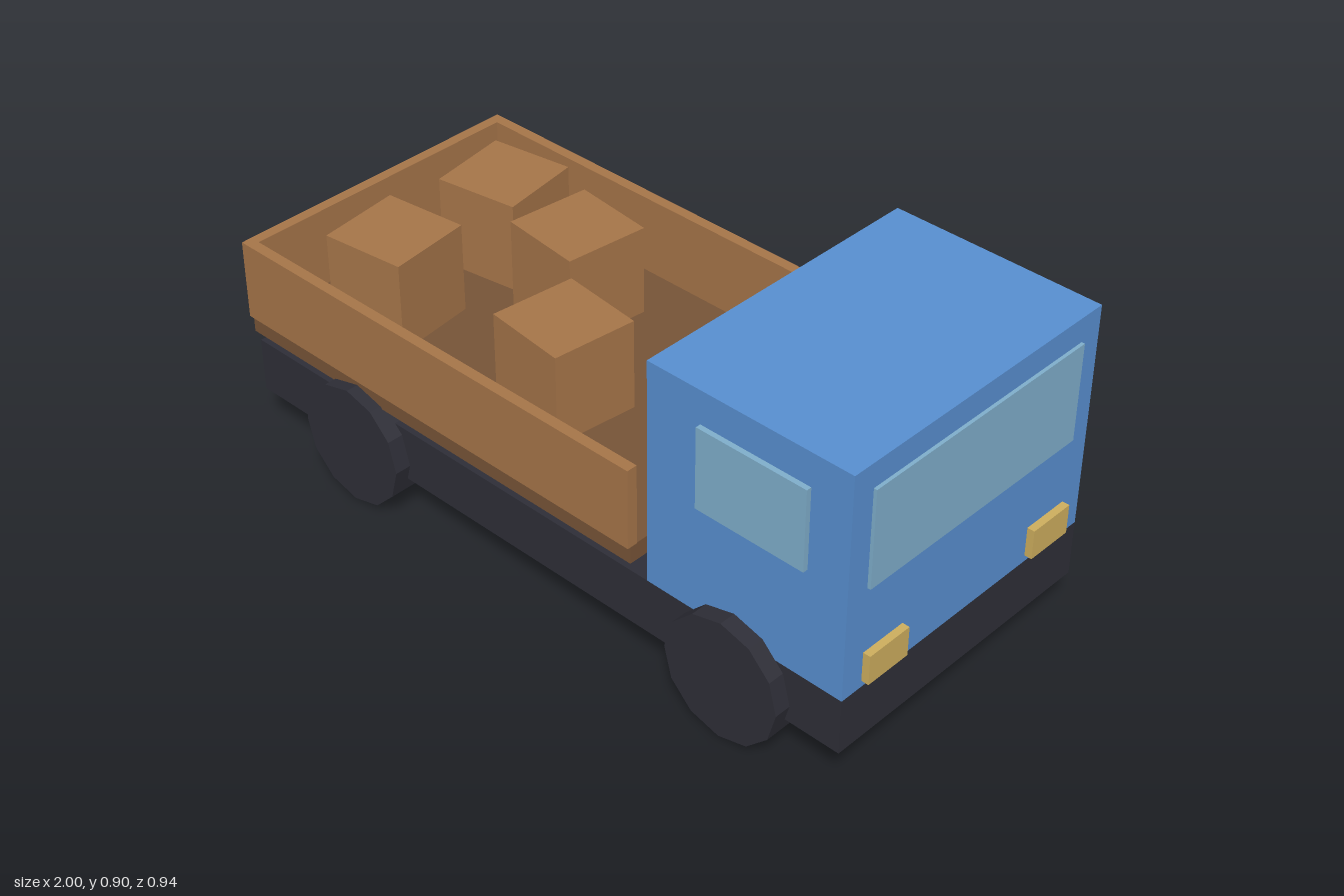
import * as THREE from 'three';

const material = (name, color) => {
  const m = new THREE.MeshStandardMaterial({ color });
  m.name = name;
  return m;
};

export function createModel() {
  const truck = new THREE.Group();
  truck.name = 'flatbedTruck';

  const blue = material('blue paint', 0x588fd0);
  const glass = material('window glass', 0x7faecb);
  const lamp = material('lamp yellow', 0xcdae5e);
  const dark = material('dark rubber and steel', 0x2e2e37);
  const wood = material('wood', 0xa67549);
  const darkWood = material('dark wood', 0x775437);

  // Box given by its [min, max] extents on each axis
  function box(name, mat, [x0, x1], [y0, y1], [z0, z1]) {
    const mesh = new THREE.Mesh(new THREE.BoxGeometry(x1 - x0, y1 - y0, z1 - z0), mat);
    mesh.position.set((x0 + x1) / 2, (y0 + y1) / 2, (z0 + z1) / 2);
    mesh.name = name;
    truck.add(mesh);
    return mesh;
  }
  // Extents on the z axis, mirrored for the other side
  const onSide = (s, a, b) => (s > 0 ? [a, b] : [-b, -a]);

  // Chassis and cab
  box('chassis', dark, [-0.99, 0.98], [0.125, 0.28], [-0.425, 0.425]);
  box('cab', blue, [0.397, 0.98], [0.28, 0.9], [-0.425, 0.425]);
  box('windshield', glass, [0.98, 0.989], [0.563, 0.832], [-0.36, 0.36]);

  // Load bed: floor, tailboard and side boards, open towards the cab
  box('bedFloor', darkWood, [-0.995, 0.355], [0.312, 0.362], [-0.436, 0.436]);
  box('tailboard', wood, [-1, -0.97], [0.36, 0.585], [-0.444, 0.444]);

  // Wheels lie along z
  const wheelGeometry = new THREE.CylinderGeometry(0.17, 0.17, 0.135, 12).rotateX(Math.PI / 2).toNonIndexed();
  wheelGeometry.computeVertexNormals();

  for (const s of [1, -1]) {
    const side = s > 0 ? 'Near' : 'Far';
    box('sideBoard' + side, wood, [-0.97, 0.355], [0.36, 0.585], onSide(s, 0.414, 0.444));
    box('sideWindow' + side, glass, [0.555, 0.868], [0.588, 0.81], onSide(s, 0.425, 0.439));
    box('headlight' + side, lamp, [0.98, 1], [0.298, 0.38], onSide(s, 0.226, 0.36));
    for (const [name, x] of [['rearWheel', -0.592], ['frontWheel', 0.665]]) {
      const wheel = new THREE.Mesh(wheelGeometry, dark);
      wheel.position.set(x, 0.171, s * 0.403);
      wheel.name = name + side;
      truck.add(wheel);
    }
  }

  // Crates: x, z, turn
  const crates = [
    [-0.725, -0.208, 0.155],
    [-0.41, -0.163, -0.11],
    [-0.725, 0.174, 0.12],
    [-0.142, 0.151, -0.11],
  ];
  crates.forEach(([x, z, turn], i) => {
    const crate = box('crate' + (i + 1), wood, [x - 0.12, x + 0.12], [0.362, 0.618], [z - 0.12, z + 0.12]);
    crate.rotation.y = turn;
  });

  return truck;
}
